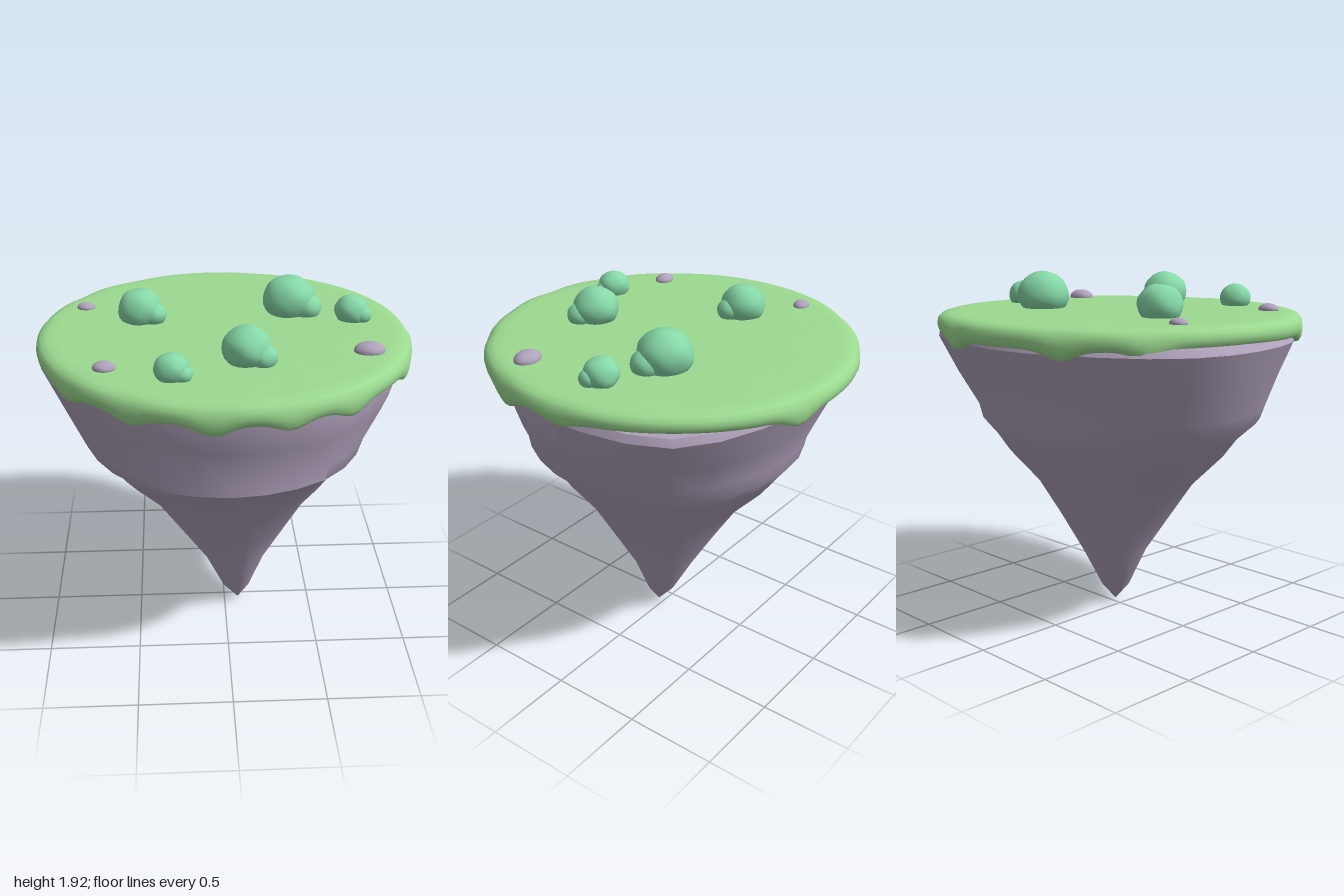
import * as THREE from 'three';
import { toCreasedNormals, mergeVertices } from 'three/addons/utils/BufferGeometryUtils.js';

const rockMat = new THREE.MeshStandardMaterial({ color: 0xb0a2bb });
const grassMat = new THREE.MeshStandardMaterial({ color: 0x9cda90 });
const bushMat = new THREE.MeshStandardMaterial({ color: 0x86d8a8 });

// Smooth bump around angle c, wrapping round the circle
function bump(a, c, width) {
  const d = Math.atan2(Math.sin(a - c), Math.cos(a - c)) / width;
  return Math.exp(-d * d);
}

// Closed skin through rings listed from top to bottom; first and last are poles
function loft(ringCount, segments, point) {
  const pos = [], index = [];
  for (let i = 0; i < ringCount; i++)
    for (let j = 0; j < segments; j++)
      pos.push(...point(i, (j / segments) * Math.PI * 2));
  for (let i = 0; i < ringCount - 1; i++)
    for (let j = 0; j < segments; j++) {
      const k = (j + 1) % segments;
      const a = i * segments + j, b = i * segments + k;
      const c = a + segments, d = b + segments;
      if (i < ringCount - 2) index.push(a, c, d);
      else index.push(a, c, b);
      if (i > 0 && i < ringCount - 2) index.push(a, d, b);
    }
  const geo = new THREE.BufferGeometry();
  geo.setAttribute('position', new THREE.Float32BufferAttribute(pos, 3));
  geo.setIndex(index);
  geo.computeVertexNormals();
  return geo;
}

// Hanging rock: y, min x, max x, min z, max z of each ring
function rockGeometry() {
  const rings = [
    [1.64, 0, 0, 0, 0],
    [1.62, -0.96, 0.94, -0.90, 0.88],
    [1.58, -0.99, 0.96, -0.92, 0.89],
    [1.38, -0.90, 0.90, -0.83, 0.82],
    [1.20, -0.81, 0.80, -0.75, 0.79],
    [1.12, -0.77, 0.77, -0.74, 0.79],
    [1.03, -0.68, 0.68, -0.67, 0.68],
    [0.93, -0.61, 0.62, -0.60, 0.60],
    [0.75, -0.42, 0.48, -0.43, 0.45],
    [0.54, -0.27, 0.36, -0.30, 0.33],
    [0.32, -0.12, 0.24, -0.17, 0.20],
    [0.10, -0.01, 0.15, -0.05, 0.11],
    [0.00, 0.08, 0.08, 0.04, 0.04],
  ];
  const geo = loft(rings.length, 28, (i, a) => {
    const [y, x0, x1, z0, z1] = rings[i];
    // two shoulders poke out past the turf, fading downwards
    const fade = Math.max(0, (y - 0.6) / 1.0);
    const k = 1 + fade * (0.11 * bump(a, 2.25, 0.32) + 0.06 * bump(a, -2.0, 0.35))
      + 0.012 * Math.sin(a * 5 + y * 4) * Math.sin(2 * a) ** 2;
    return [(x0 + x1) / 2 + Math.sin(a) * k * (x1 - x0) / 2, y,
      (z0 + z1) / 2 + Math.cos(a) * k * (z1 - z0) / 2];
  });
  return toCreasedNormals(geo, 0.75);
}

// Turf: a rounded disc whose lower lip sags into drips
function turfGeometry() {
  const drips = [-2.64, -2.2, -0.96, -0.52, -0.1, 0.28, 0.64, 1.22, 1.64, 2.9];
  const depths = [0.05, 0.05, 0.045, 0.045, 0.055, 0.045, 0.05, 0.06, 0.03, 0.055];
  // radius, height above the lip as a share (1 = top, 0 = lip)
  const profile = [[0, 1], [0.5, 1], [0.88, 0.99], [0.94, 0.96], [0.975, 0.86], [0.995, 0.66],
    [1, 0.42], [0.995, 0.18], [0.98, 0.03], [0.96, 0], [0.93, 0.08], [0.88, 0.3], [0, 0.35]];
  return loft(profile.length, 120, (i, a) => {
    const [r, h] = profile[i];
    let lip = 1.605 + 0.02 * bump(a, 2.2, 0.5) + 0.012 * bump(a, -1.7, 0.35);
    drips.forEach((c, n) => { lip -= depths[n] * bump(a, c, 0.1); });
    if (i > 10) lip = 1.6;
    const y = lip + (1.72 - lip) * h;
    return [Math.sin(a) * r, y, Math.cos(a) * r];
  });
}

// Slightly lumpy ball
function blob(name, mat, x, y, z, rx, ry, rz, lump = 0.03) {
  const base = new THREE.IcosahedronGeometry(1, 4);
  base.deleteAttribute('uv');
  base.deleteAttribute('normal');
  const geo = mergeVertices(base);
  const p = geo.attributes.position, v = new THREE.Vector3();
  for (let i = 0; i < p.count; i++) {
    v.fromBufferAttribute(p, i);
    v.multiplyScalar(1 + lump * Math.sin(4 * v.x + x * 9) * Math.cos(4 * v.y + z * 7) * Math.cos(3 * v.z));
    p.setXYZ(i, v.x * rx, v.y * ry, v.z * rz);
  }
  geo.computeVertexNormals();
  const mesh = new THREE.Mesh(geo, mat);
  mesh.name = name;
  mesh.position.set(x, y, z);
  return mesh;
}

export function createModel() {
  const model = new THREE.Group();
  model.name = 'floatingIsland';

  const rock = new THREE.Mesh(rockGeometry(), rockMat);
  rock.name = 'rock';
  const turf = new THREE.Mesh(turfGeometry(), grassMat);
  turf.name = 'turf';
  model.add(rock, turf);

  // Bushes: x, z, radius, top, then the small side puff's x, z, radius, top
  [
    [-0.45, -0.15, 0.12, 1.89, -0.375, -0.11, 0.068, 1.82],
    [0.37, -0.24, 0.143, 1.92, 0.463, -0.195, 0.083, 1.83],
    [0.70, -0.105, 0.092, 1.85, 0.753, -0.075, 0.054, 1.80],
    [0.09, 0.455, 0.126, 1.90, 0.17, 0.50, 0.073, 1.82],
    [-0.285, 0.645, 0.088, 1.84, -0.235, 0.67, 0.052, 1.79],
  ].forEach(([x, z, r, top, px, pz, pr, ptop]) => {
    const bush = new THREE.Group();
    bush.name = 'bush';
    bush.add(
      blob('bushBody', bushMat, x, top - r * 0.9, z, r, r * 0.9, r, 0.05),
      blob('bushPuff', bushMat, px, ptop - pr * 0.9, pz, pr, pr * 0.9, pr),
    );
    model.add(bush);
  });

  // Pebbles: x, z, half width, half depth, top
  [
    [-0.755, -0.34, 0.05, 0.042, 1.75],
    [-0.617, 0.53, 0.058, 0.049, 1.757],
    [0.722, 0.367, 0.08, 0.063, 1.767],
  ].forEach(([x, z, rx, rz, top]) =>
    model.add(blob('pebble', rockMat, x, top - rx * 0.55, z, rx, rx * 0.55, rz)));

  return model;
}
